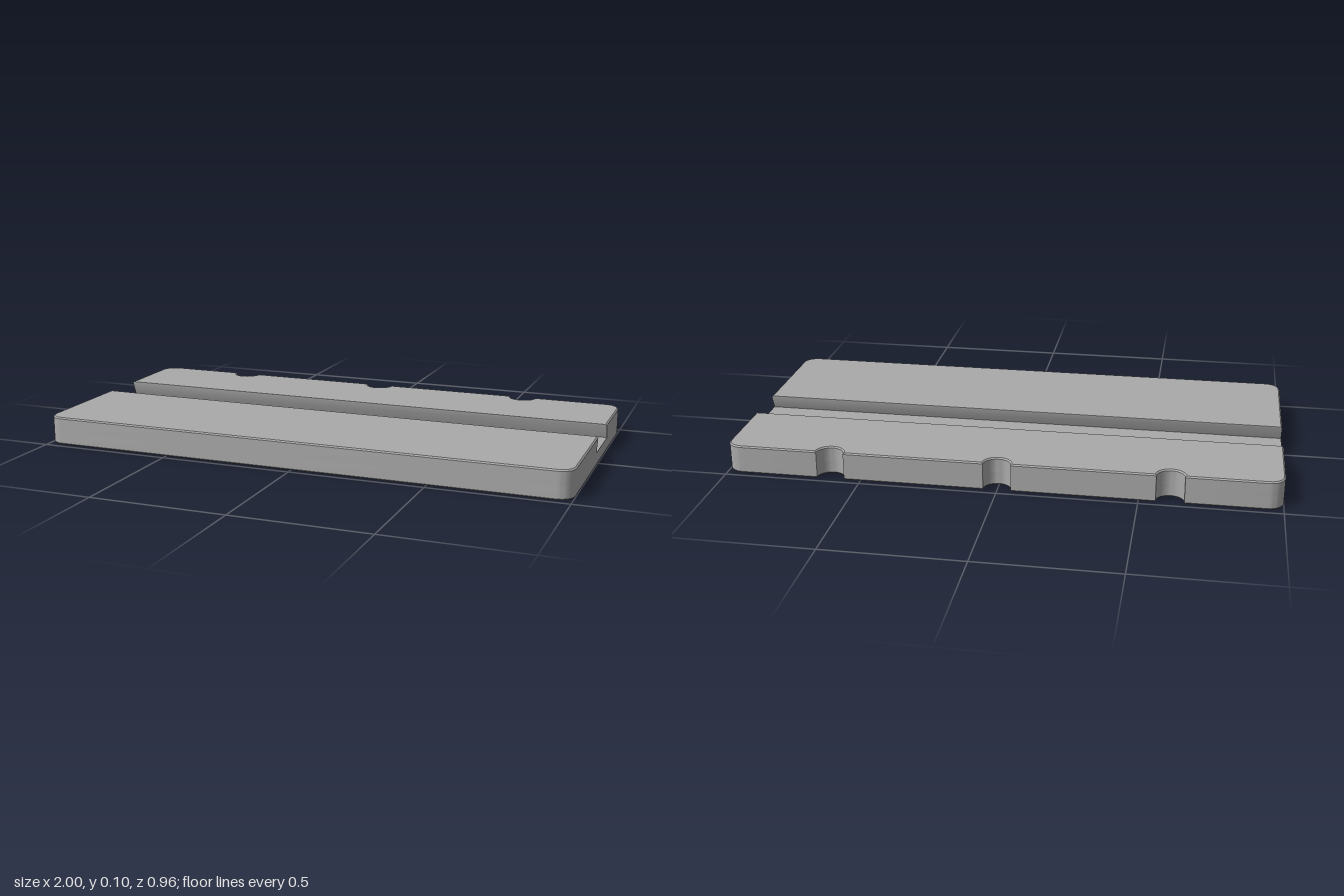
import * as THREE from 'three';
import { toCreasedNormals } from 'three/addons/utils/BufferGeometryUtils.js';

const X = 1, Z = 0.478, H = 0.105;          // half length, half depth, height
const R = 0.055, C = 0.005;                 // corner radius, edge chamfer
const NOTCH = 0.05, BOSS = 0.088;           // rear notch radius, boss around it
const NOTCHES = [-0.61, 0, 0.61];
const FLOOR = 0.05;                         // height of the groove floor
const LOW = [0.04, -0.18], TOP = [0.02, -0.16]; // groove edges (front, back)

// Points are [x, z] pairs
const arc = (cx, cz, r, a0, a1, n = 10) => Array.from({ length: n + 1 }, (_, i) => {
  const a = a0 + (a1 - a0) * i / n;
  return [cx + r * Math.cos(a), cz + r * Math.sin(a)];
});

// Outline in front of the groove, from left to right end
const frontPath = (inset, zg) => [
  [X - inset, zg],
  ...arc(X - R, Z - R, R - inset, 0, Math.PI / 2),
  ...arc(R - X, Z - R, R - inset, Math.PI / 2, Math.PI),
  [inset - X, zg],
];

// Outline behind the groove, including the half-round notches
const backPath = (inset, zg) => {
  const r = NOTCH + inset, a = Math.asin(inset / r);
  return [
    [inset - X, zg],
    ...arc(R - X, R - Z, R - inset, Math.PI, Math.PI * 1.5),
    ...NOTCHES.flatMap((x) => arc(x, -Z, r, Math.PI - a, a, 16)),
    ...arc(X - R, R - Z, R - inset, Math.PI * 1.5, Math.PI * 2),
    [X - inset, zg],
  ];
};
const fullPath = (inset) => [...frontPath(inset, LOW[0]), ...backPath(inset, LOW[1])];

// Skin between rows of equal length; each row is [y, points]
function loft(rows, closed) {
  const n = rows[0][1].length, pos = [], idx = [];
  rows.forEach(([y, pts]) => pts.forEach(([x, z]) => pos.push(x, y, z)));
  for (let j = 0; j < rows.length - 1; j++) {
    for (let i = 0; i < (closed ? n : n - 1); i++) {
      const a = j * n + i, b = j * n + (i + 1) % n;
      idx.push(a, a + n, b, b, a + n, b + n);
    }
  }
  const g = new THREE.BufferGeometry();
  g.setAttribute('position', new THREE.Float32BufferAttribute(pos, 3));
  g.setIndex(idx);
  return toCreasedNormals(g, 0.6);
}

// Level face at height y, facing up or down
function flat(points, y, up, holes = []) {
  const s = up ? -1 : 1;
  const toV = (pts) => pts.map(([x, z]) => new THREE.Vector2(x, z * s));
  const shape = new THREE.Shape(toV(points));
  shape.holes = holes.map((h) => new THREE.Path(toV(h)));
  return new THREE.ShapeGeometry(shape).rotateX(s * Math.PI / 2).translate(0, y, 0);
}

// Pocket outline; the rear edge bulges around the notch bosses
function pocketPath(x0, x1, z0, z1) {
  const pts = [[x1, z1], [x0, z1]], n = 40;
  for (let i = 0; i <= n; i++) {
    const x = x0 + (x1 - x0) * i / n;
    const bulge = NOTCHES.map((c) => -Z + Math.sqrt(Math.max(0, BOSS ** 2 - (x - c) ** 2)));
    pts.push([x, Math.max(z0, ...bulge)]);
  }
  return pts;
}

export function createModel() {
  const group = new THREE.Group();
  const grey = new THREE.MeshStandardMaterial({ color: 0xaaaaaa, side: THREE.DoubleSide });
  grey.name = 'plain grey';
  const add = (name, geometry) => {
    const mesh = new THREE.Mesh(geometry, grey);
    mesh.name = name;
    group.add(mesh);
  };

  // Outer rim: a closed band below the groove floor, two open bands above it
  add('lowerRim', loft([[0, fullPath(C)], [C, fullPath(0)], [FLOOR, fullPath(0)]], true));
  [['front', frontPath], ['back', backPath]].forEach(([name, path], k) => {
    add(name + 'UpperRim', loft([
      [FLOOR, path(0, LOW[k])], [H - C, path(0, TOP[k])], [H, path(C, TOP[k])],
    ]));
    add(name + 'Top', flat(path(C, TOP[k]), H, true));

    // Undercut side of the dovetail groove
    const s = k ? 1 : -1;
    add(name + 'GrooveWall', loft([
      [FLOOR, [[s * -X, LOW[k]], [s * X, LOW[k]]].reverse()],
      [H - C, [[s * -X, TOP[k]], [s * X, TOP[k]]].reverse()],
      [H, [[s * (C - X), TOP[k]], [s * (X - C), TOP[k]]].reverse()],
    ]));
  });
  add('grooveFloor', flat(
    [[-X, LOW[1]], [X, LOW[1]], [X, LOW[0]], [-X, LOW[0]]], FLOOR, true));

  // Underside pockets: deep rows in front and back, a shallow row under the groove
  const rows = [[-0.408, -0.22, 0.085], [-0.19, 0.05, 0.03], [0.08, 0.408, 0.085]];
  const pitch = 0.465, rib = 0.03, holes = [];
  rows.forEach(([z0, z1, depth]) => {
    for (let i = -2; i < 2; i++) {
      const path = pocketPath(i * pitch + rib / 2, (i + 1) * pitch - rib / 2, z0, z1);
      holes.push(path);
      add('pocketWalls', loft([[depth, path], [0, path]], true));
      add('pocketCeiling', flat(path, depth, false));
    }
  });
  add('underside', flat(fullPath(C), 0, false, holes));
  return group;
}
